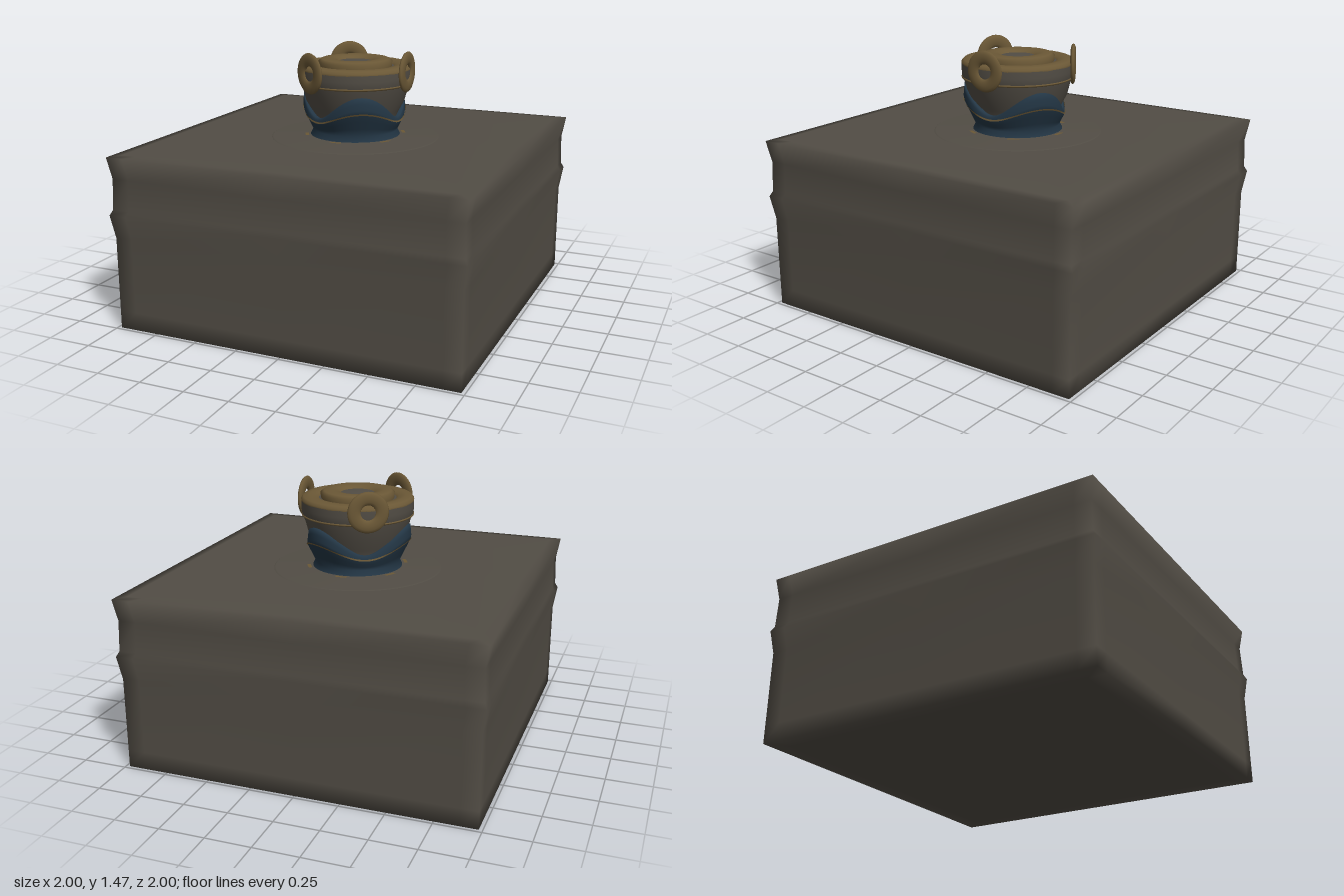
import * as THREE from 'three';

const mat = (name, color) => {
  const m = new THREE.MeshStandardMaterial({ color, side: THREE.DoubleSide });
  m.name = name;
  return m;
};

// Smooth closed skin through stacked loops; point(row, col) gives [x, y, z]
function loft(rows, cols, point) {
  const pos = [], idx = [];
  for (let r = 0; r < rows; r++) {
    for (let c = 0; c < cols; c++) pos.push(...point(r, c));
  }
  for (let r = 0; r < rows - 1; r++) {
    for (let c = 0; c < cols; c++) {
      const a = r * cols + c, b = r * cols + (c + 1) % cols;
      idx.push(a, a + cols, b, b, a + cols, b + cols);
    }
  }
  const g = new THREE.BufferGeometry();
  g.setAttribute('position', new THREE.Float32BufferAttribute(pos, 3));
  g.setIndex(idx);
  g.computeVertexNormals();
  return g;
}

const lathe = (pts, segs = 48) =>
  new THREE.LatheGeometry(pts.map(([r, y]) => new THREE.Vector2(r, y)), segs);

export function createModel() {
  const stone = mat('greyStone', 0x524d45);
  const bronze = mat('bronze', 0x6b5836);
  const blue = mat('darkBlue', 0x233645);

  const model = new THREE.Group();
  model.name = 'pedestalWithJar';
  const add = (name, geo, material, parent = model) => {
    const m = new THREE.Mesh(geo, material);
    m.name = name;
    parent.add(m);
    return m;
  };

  // Square plinth with two flared mouldings and softly shaded corners
  const side = [-1, -0.9, 0, 0.9];
  const square = [
    ...side.map(t => [1, t]), ...side.map(t => [-t, 1]),
    ...side.map(t => [-1, -t]), ...side.map(t => [t, -1]),
  ];
  const plinthProfile = [
    [0, 0], [0.88, 0], [0.98, 0], [0.98, 0.1], [0.98, 0.52], [1, 0.65], [0.985, 0.68],
    [0.98, 0.85], [1, 0.97], [0.94, 0.975], [0.48, 0.975], [0, 0.975],
  ];
  add('plinth', loft(plinthProfile.length, square.length, (r, c) => {
    const [s, y] = plinthProfile[r];
    return [square[c][0] * s, y, square[c][1] * s];
  }), stone);

  // Low foot blending into the plinth top
  add('foot', lathe([[0.48, 0.974], [0.47, 0.98], [0.28, 0.984], [0.24, 0.99]]), stone);

  // Jar body
  const jar = new THREE.Group();
  jar.name = 'jar';
  model.add(jar);
  add('jarBody', lathe([
    [0.22, 0.98], [0.225, 1.06], [0.25, 1.13], [0.28, 1.185], [0.297, 1.25],
    [0.314, 1.295], [0.317, 1.33], [0.317, 1.367],
  ]), stone, jar);
  add('shoulderLine', lathe([[0.308, 1.281], [0.317, 1.285], [0.318, 1.291], [0.312, 1.295]]), bronze, jar);

  // Blue wrap whose upper edge waves three times around the jar
  const SEG = 72;
  const wave = a => Math.cos(3 * a);
  const wrapRadius = (t, w) => {
    const max = 0.289 - 0.021 * w;
    const top = 0.281 - 0.022 * w;
    return t < 0.65
      ? THREE.MathUtils.lerp(0.24, max, t / 0.65)
      : THREE.MathUtils.lerp(max, top, (t - 0.65) / 0.35);
  };
  const wrapTop = w => 1.175 - 0.07 * w;
  const around = (r, y, a) => [r * Math.cos(a), y, r * Math.sin(a)];
  const wrapRows = [-0.18, 0, 0.2, 0.4, 0.6, 0.7, 0.85, 1];
  add('blueWrap', loft(wrapRows.length + 1, SEG, (r, c) => {
    const a = c / SEG * Math.PI * 2, w = wave(a);
    if (r === wrapRows.length) return around(0.235, wrapTop(w) - 0.003, a); // turned-in lip
    const t = wrapRows[r];
    if (t < 0) return around(0.258, 0.982, a);
    return around(wrapRadius(t, w), THREE.MathUtils.lerp(1.018, wrapTop(w), t), a);
  }), blue, jar);

  // Thin wavy bronze line on the wrap
  add('wavyLine', loft(2, SEG, (r, c) => {
    const a = c / SEG * Math.PI * 2, w = wave(a);
    const y = 1.112 - 0.036 * w + r * 0.009;
    const t = (y - 1.018) / (wrapTop(w) - 1.018);
    return around(wrapRadius(t, w) + 0.004, y, a);
  }), bronze, jar);

  // Bronze rim, groove, raised lid ring and its centre
  add('rim', lathe([
    [0.317, 1.365], [0.317, 1.375], [0.305, 1.389], [0.27, 1.395], [0.23, 1.388], [0.215, 1.372],
  ]), bronze, jar);
  add('grooveFloor', lathe([[0.225, 1.376], [0.195, 1.376]]), stone, jar);
  add('lidRing', lathe([
    [0.204, 1.365], [0.209, 1.405], [0.19, 1.419], [0.15, 1.424], [0.11, 1.417], [0.09, 1.4],
  ]), bronze, jar);
  add('lidCentre', lathe([[0.097, 1.403], [0.05, 1.406], [0, 1.407]]), stone, jar);

  // Three flat rings standing against the rim
  const ringGeo = new THREE.TorusGeometry(0.077, 0.037, 12, 36).scale(1, 1, 0.4);
  for (let i = 0; i < 3; i++) {
    const a = i * Math.PI * 2 / 3;
    const ring = add('sideRing', ringGeo, bronze, jar);
    ring.position.set(...around(0.312, 1.36, a));
    ring.rotation.y = Math.PI / 2 - a;
  }

  // Short bronze inlays around the foot
  for (let i = 0; i < 6; i++) {
    const inlay = add('footInlay', new THREE.RingGeometry(0.268, 0.288, 8, 1, -0.12, 0.24), bronze);
    inlay.geometry.rotateX(-Math.PI / 2);
    inlay.position.y = 0.988;
    inlay.rotation.y = Math.PI / 6 + i * Math.PI / 3;
  }

  return model;
}
